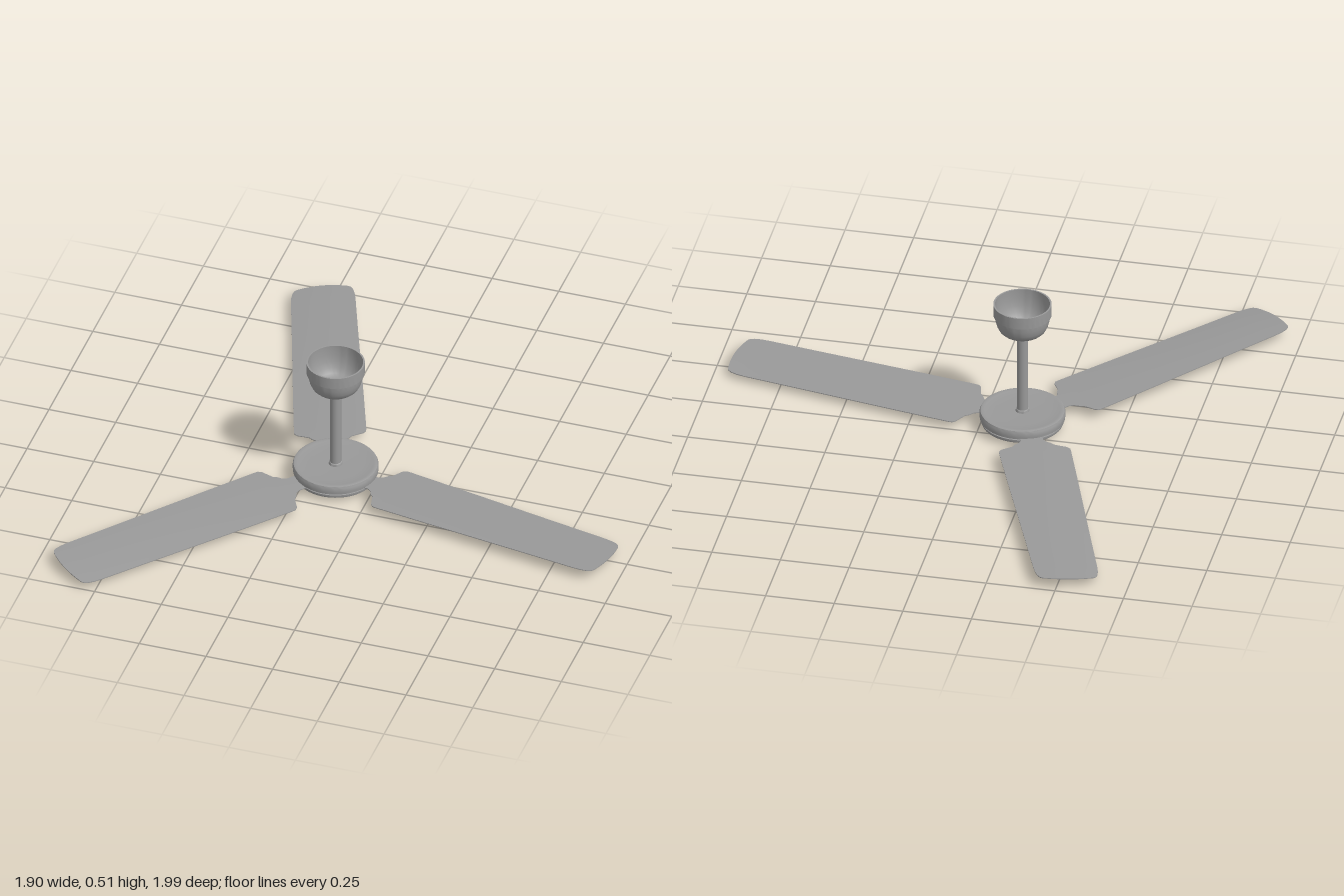
import * as THREE from 'three';
import { toCreasedNormals } from 'three/addons/utils/BufferGeometryUtils.js';

const material = new THREE.MeshStandardMaterial({ color: 0x999999, side: THREE.DoubleSide });

function addMesh(parent, name, geometry) {
  const mesh = new THREE.Mesh(geometry, material);
  mesh.name = name;
  parent.add(mesh);
  return mesh;
}

// Smooth turned part with sharp edges where the profile bends strongly
function turned(points) {
  const profile = points.map(([r, y]) => new THREE.Vector2(r, y));
  return toCreasedNormals(new THREE.LatheGeometry(profile, 64), 0.6);
}

// Blade outline: [distance from the hub axis, half width]
const OUTLINE = [
  [0.12, 0.04], [0.165, 0.04], [0.18, 0.048], [0.192, 0.066], [0.203, 0.074],
  [0.212, 0.095], [0.221, 0.118], [0.232, 0.128], [0.25, 0.129], [0.45, 0.126],
  [0.65, 0.122], [0.85, 0.118], [1.035, 0.115], [1.066, 0.113], [1.09, 0.108],
  [1.104, 0.101], [1.11, 0.092],
];

// A thin slab shaped by the outline, cambered, with the pitch growing towards the tip
function bladeGeometry() {
  const steps = OUTLINE.length - 1;
  const geometry = new THREE.BoxGeometry(steps, 0.003, 2, steps, 1, 12);
  const pos = geometry.attributes.position;
  for (let i = 0; i < pos.count; i++) {
    const [u, half] = OUTLINE[Math.round(pos.getX(i) + steps / 2)];
    const s = pos.getZ(i);
    const v = s * half;
    const bulge = 0.012 * (1 - s * s) * THREE.MathUtils.smoothstep(u, 0.85, 1.1);
    const twist = THREE.MathUtils.mapLinear(u, 0.12, 1.11, 0.35, 1);
    const y = 0.037 + twist * (0.08 * v - 0.3 * v * v);
    pos.setXYZ(i, u + bulge, y + pos.getY(i), v);
  }
  geometry.computeVertexNormals();
  return geometry;
}

export function createModel() {
  const fan = new THREE.Group();
  fan.name = 'ceilingFan';
  const rotor = new THREE.Group();
  rotor.name = 'rotor';
  rotor.position.set(-0.15, 0, 0.076);
  fan.add(rotor);

  // Motor housing: upper and lower shells with a groove between them
  addMesh(rotor, 'motorHousing', turned([
    [0, 0.012], [0.085, 0.012], [0.09, 0.018], [0.118, 0.018], [0.122, 0.012],
    [0.136, 0.013], [0.145, 0.018], [0.148, 0.026], [0.148, 0.03], [0.143, 0.031],
    [0.143, 0.036], [0.152, 0.037], [0.153, 0.045], [0.153, 0.062], [0.15, 0.068],
    [0.144, 0.07], [0.135, 0.068], [0.1, 0.066], [0, 0.066],
  ]));

  // Bottom cap and radial cooling ribs
  addMesh(rotor, 'bottomCap', turned([
    [0, 0], [0.045, 0], [0.055, 0.003], [0.06, 0.008], [0.06, 0.014],
  ]));
  const ribs = new THREE.Group();
  ribs.name = 'coolingRibs';
  rotor.add(ribs);
  for (let i = 0; i < 18; i++) {
    const angle = (i / 18) * Math.PI * 2;
    const rib = addMesh(ribs, 'coolingRib', new THREE.BoxGeometry(0.06, 0.006, 0.005));
    rib.position.set(Math.cos(angle) * 0.092, 0.0125, Math.sin(angle) * 0.092);
    rib.rotation.y = -angle;
  }

  // Three blades around the hub, set slightly off its axis
  const blades = new THREE.Group();
  blades.name = 'blades';
  blades.position.set(-0.01, 0, 0.008);
  rotor.add(blades);
  const blade = bladeGeometry();
  for (const degrees of [10.4, 130, 250]) {
    addMesh(blades, 'blade', blade).rotation.y = -THREE.MathUtils.degToRad(degrees);
  }

  // Hanging rod with its collar
  addMesh(rotor, 'downRod', new THREE.CylinderGeometry(0.02, 0.02, 0.36, 32)).position.y = 0.24;
  addMesh(rotor, 'rodCollar', turned([
    [0.02, 0.076], [0.023, 0.074], [0.025, 0.066],
  ]));

  // Hollow canopy cup, open at the top
  addMesh(rotor, 'canopy', turned([
    [0, 0.393], [0.06, 0.393], [0.073, 0.398], [0.084, 0.409], [0.092, 0.426],
    [0.097, 0.446], [0.099, 0.464], [0.104, 0.466], [0.104, 0.51], [0.098, 0.51],
    [0.098, 0.471], [0.092, 0.446], [0.085, 0.424], [0.073, 0.408], [0.06, 0.4],
    [0, 0.4],
  ]));
  addMesh(rotor, 'canopyNut', turned([
    [0.034, 0.399], [0.034, 0.408], [0.03, 0.412], [0.014, 0.413], [0.012, 0.42], [0, 0.42],
  ]));

  return fan;
}
